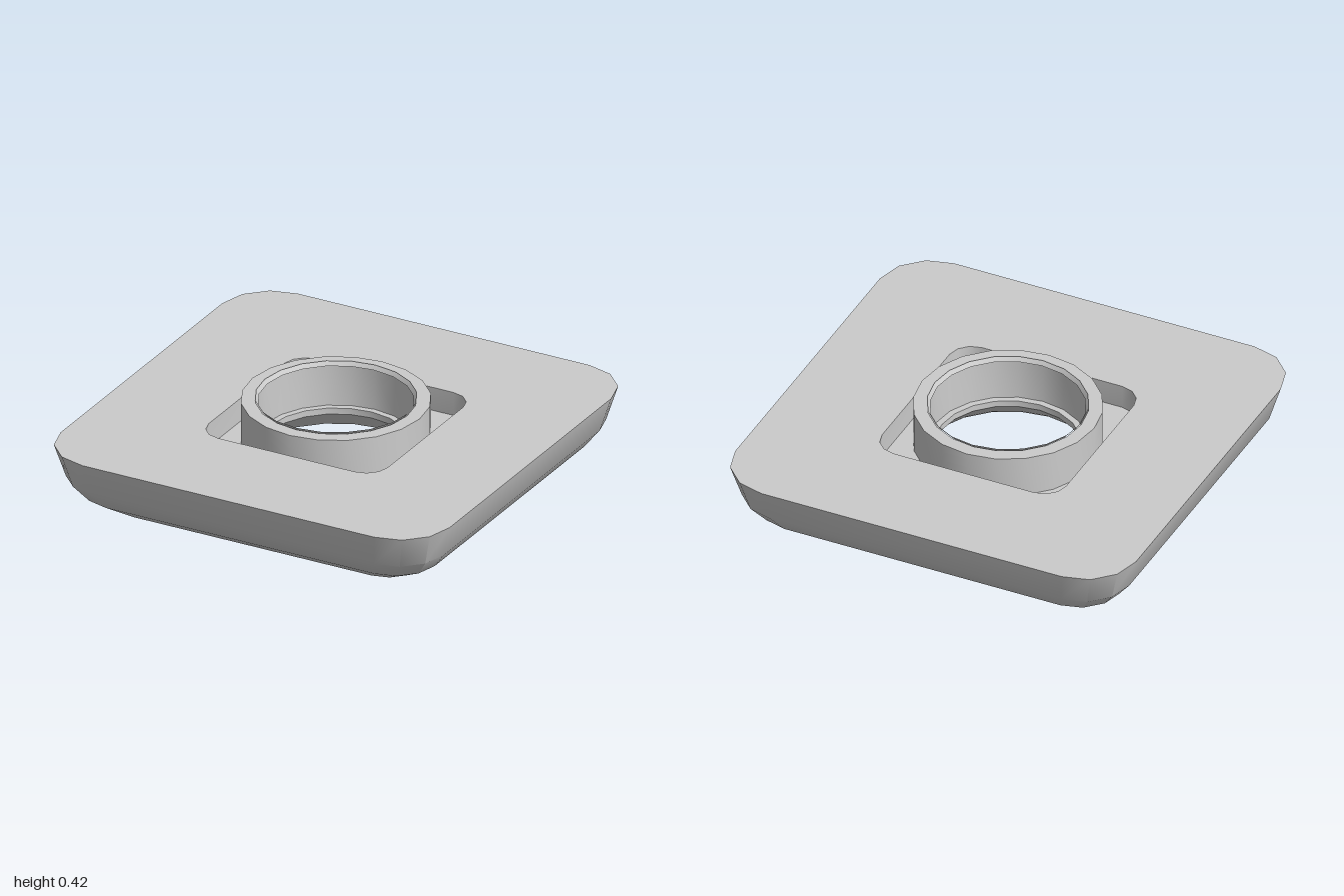
import * as THREE from 'three';
import { toCreasedNormals } from 'three/addons/utils/BufferGeometryUtils.js';

const CORNER_STEPS = 3;

// Rounded square loop of half size h and corner radius r (r = h gives a circle)
function squareLoop(h, r, y) {
  const pts = [];
  for (let q = 0; q < 4; q++) {
    for (let s = 0; s <= CORNER_STEPS; s++) {
      // a full circle is spread evenly so that no two points coincide
      const a = r === h
        ? ((q * (CORNER_STEPS + 1) + s + 0.5) / (4 * (CORNER_STEPS + 1))) * Math.PI * 2
        : (q + s / CORNER_STEPS) * Math.PI / 2;
      const mid = (q + 0.5) * Math.PI / 2;
      const c = (h - r) * Math.SQRT2;
      pts.push([Math.cos(mid) * c + Math.cos(a) * r, y, Math.sin(mid) * c + Math.sin(a) * r]);
    }
  }
  return pts;
}

// Skin a list of equal-length closed loops
function loft(loops) {
  const n = loops[0].length, index = [];
  for (let j = 0; j < loops.length - 1; j++) {
    for (let i = 0; i < n; i++) {
      const k = (i + 1) % n;
      const a = j * n + i, b = a + n, c = j * n + k, d = c + n;
      index.push(a, b, c, c, b, d);
    }
  }
  const geo = new THREE.BufferGeometry();
  geo.setAttribute('position', new THREE.Float32BufferAttribute(loops.flat(2), 3));
  geo.setIndex(index);
  return toCreasedNormals(geo, 0.6);
}

function turned(profile, segments) {
  const geo = new THREE.LatheGeometry(profile.map(([r, y]) => new THREE.Vector2(r, y)), segments);
  return toCreasedNormals(geo, 0.45);
}

export function createModel() {
  const group = new THREE.Group();
  const grey = new THREE.MeshStandardMaterial({ color: 0xcccccc });
  const thin = new THREE.MeshStandardMaterial({ color: 0xcccccc, side: THREE.DoubleSide });
  const add = (name, geo, mat = grey) => {
    const mesh = new THREE.Mesh(geo, mat);
    mesh.name = name;
    group.add(mesh);
  };

  // Plate: underside recess, foot rim, bellied sides, flat top, square pocket
  add('plate', loft([
    [0.43, 0.43, 0.08],
    [0.68, 0.12, 0.08],
    [0.72, 0.15, 0],
    [0.77, 0.16, 0],
    [0.89, 0.2, 0.08],
    [0.955, 0.23, 0.165],
    [1, 0.25, 0.325],
    [0.46, 0.11, 0.325],
    [0.46, 0.11, 0.21],
    [0.42, 0.42, 0.21],
  ].map(([h, r, y]) => squareLoop(h, r, y))));

  // Collar: countersunk below, stepped bore, standing above the plate
  add('collar', turned([
    [0.33, 0.17], [0.395, 0.1], [0.42, 0.078], [0.43, 0.078],
    [0.43, 0.41], [0.365, 0.41], [0.36, 0.2], [0.33, 0.2], [0.33, 0.17],
  ], 20));

  // Thin flared lip at the mouth of the bore
  add('boreLip', turned([[0.352, 0.4], [0.366, 0.42]], 20), thin);

  return group;
}
